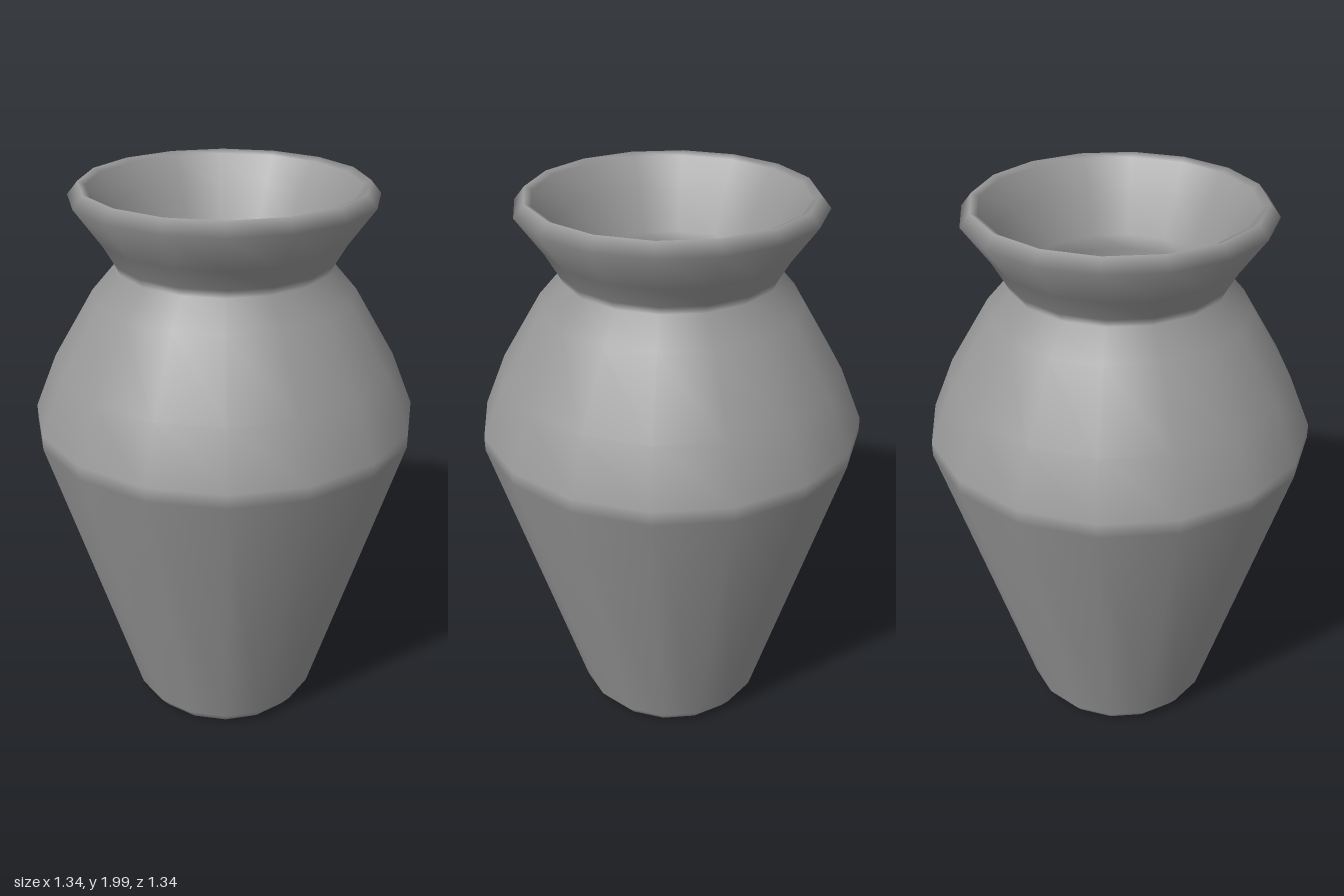
import * as THREE from 'three';

export function createModel() {
  const group = new THREE.Group();
  group.name = 'vase';
  const material = new THREE.MeshStandardMaterial({ color: 0x999999, side: THREE.DoubleSide });
  const sides = 16;

  const add = (name, geometry) => {
    const mesh = new THREE.Mesh(geometry, material);
    mesh.name = name;
    group.add(mesh);
  };

  // Closes a ring; its edge normals lean along the radius so it blends into the wall
  const cap = (name, radius, y, facing, lean) => {
    const ring = Array.from({ length: sides }, (_, i) => {
      const a = (i / sides) * Math.PI * 2;
      return new THREE.Vector2(Math.cos(a) * radius, Math.sin(a) * radius);
    });
    const geometry = new THREE.ShapeGeometry(new THREE.Shape(ring));
    geometry.rotateX(-facing * Math.PI / 2).translate(0, y, 0);
    const { position, normal } = geometry.attributes;
    const n = new THREE.Vector3();
    for (let i = 0; i < position.count; i++) {
      n.set(position.getX(i) / radius * lean, facing, position.getZ(i) / radius * lean).normalize();
      normal.setXYZ(i, n.x, n.y, n.z);
    }
    add(name, geometry);
  };

  // One skin: foot, body, shoulder, neck, rim, then down the hollow inside
  const profile = [
    [0.31, 0.008], [0.347, 0.055], // foot
    [0.67, 1.15], [0.67, 1.2], // widest band
    [0.592, 1.39], [0.45, 1.63], [0.368, 1.725], // shoulder
    [0.382, 1.755], [0.425, 1.83], [0.515, 1.957], // flared neck
    [0.48, 2], [0.455, 1.988], [0.4, 1.89], // rim
    [0.327, 1.75], [0.32, 1.7], [0.315, 0.06], // throat and inner wall
  ].map(([r, y]) => new THREE.Vector2(r, y));
  add('vaseBody', new THREE.LatheGeometry(profile, sides));

  cap('base', 0.31, 0.008, -1, 1.1);
  cap('innerFloor', 0.315, 0.06, 1, -0.8);

  return group;
}
